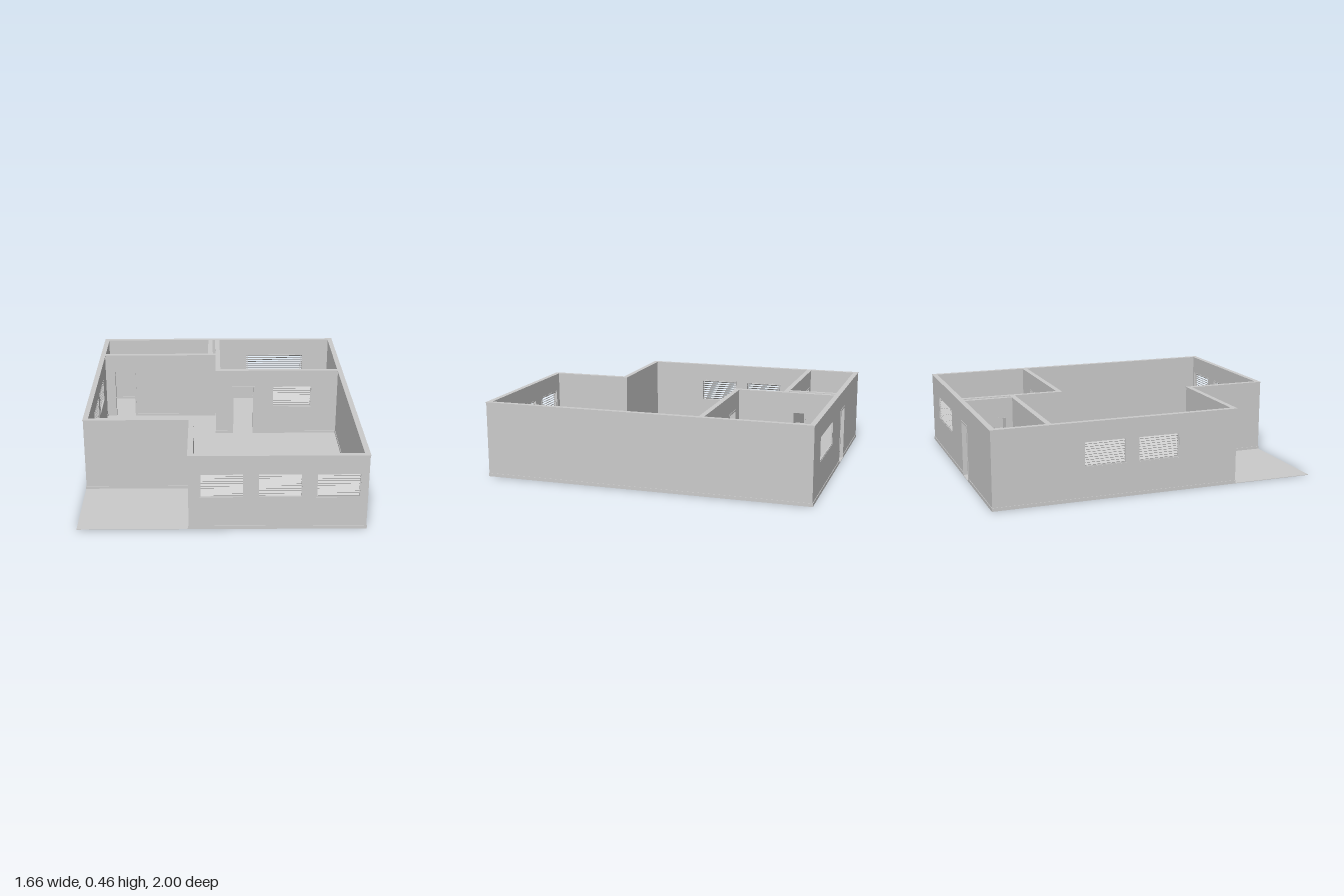
import * as THREE from 'three';

const H = 0.46, T = 0.026, LIP = 0.003; // wall height, thickness, trim overhang
const SILL = 0.2, HEAD = 0.35;
const mat = new THREE.MeshStandardMaterial({ color: 0xcccccc });

function box(parent, name, w, h, d, x, y, z) {
  const m = new THREE.Mesh(new THREE.BoxGeometry(w, h, d), mat);
  m.name = name;
  m.position.set(x, y, z);
  parent.add(m);
  return m;
}

// Rectangular path, used as a hole
function rectPath(x0, y0, x1, y1) {
  const p = new THREE.Path();
  p.moveTo(x0, y0).lineTo(x0, y1).lineTo(x1, y1).lineTo(x1, y0).closePath();
  return p;
}

// Frame around an opening; the bottom rail is optional
function frame(parent, name, a, b, y0, y1, bar, depth, z, bottom) {
  const w = b - a, cx = (a + b) / 2, cy = (y0 + y1) / 2;
  for (const x of [a + bar / 2, b - bar / 2]) box(parent, name, bar, y1 - y0, depth, x, cy, z);
  box(parent, name, w - 2 * bar, bar, depth, cx, y1 - bar / 2, z);
  if (bottom) box(parent, name, w - 2 * bar, bar, depth, cx, y0 + bar / 2, z);
}

// Louvred window; out is the local z direction of the outside
function louvreWindow(parent, a, b, out) {
  const g = new THREE.Group();
  g.name = 'louvreWindow';
  frame(g, 'windowFrame', a, b, SILL, HEAD, 0.006, T, -out * 0.002, true);
  const n = 9, pitch = (HEAD - SILL - 0.012) / n;
  for (let i = 0; i < n; i++) {
    const y = SILL + 0.006 + (i + 0.5) * pitch;
    const s = box(g, 'slat', b - a - 0.012, 0.003, 0.016, (a + b) / 2, y, 0);
    s.rotation.x = out * 0.6;
  }
  // Slat carriers near each side
  for (const x of [a + 0.016, b - 0.016]) box(g, 'slatCarrier', 0.004, HEAD - SILL - 0.01, 0.005, x, (SILL + HEAD) / 2, -out * 0.008);
  parent.add(g);
}

// Wall along one axis at a fixed offset; openings use coordinates along that axis
function wall(parent, name, axis, at, from, to, { doors = [], windows = [], vents = [], out = 1 } = {}) {
  const g = new THREE.Group();
  g.name = name;
  const a = from - T / 2, b = to + T / 2;

  // Outline with door notches, windows as holes
  const s = new THREE.Shape();
  s.moveTo(a, 0);
  for (const [d0, d1] of doors) s.lineTo(d0, 0).lineTo(d0, HEAD).lineTo(d1, HEAD).lineTo(d1, 0);
  s.lineTo(b, 0).lineTo(b, H).lineTo(a, H).closePath();
  for (const [w0, w1] of windows) s.holes.push(rectPath(w0, SILL, w1, HEAD));
  for (const [v0, v1, y0, y1] of vents) s.holes.push(rectPath(v0, y0, v1, y1));
  const geo = new THREE.ExtrudeGeometry(s, { depth: T, bevelEnabled: false });
  geo.translate(0, 0, -T / 2);
  const body = new THREE.Mesh(geo, mat);
  body.name = 'wallPanel';
  g.add(body);

  // Skirting, interrupted by doors, and a thin cap
  let start = a - LIP;
  for (const [d0, d1] of [...doors, [b + LIP, 0]]) {
    box(g, 'skirting', d0 - start, 0.02, T + 2 * LIP, (start + d0) / 2, 0.01, 0);
    start = d1;
  }
  box(g, 'wallCap', b - a + 2 * LIP, 0.005, T + 2 * LIP, (a + b) / 2, H + 0.0005, 0);

  for (const [d0, d1] of doors) frame(g, 'doorFrame', d0, d1, 0, HEAD, 0.01, T + 2 * LIP, 0, false);
  for (const [w0, w1] of windows) louvreWindow(g, w0, w1, out);

  if (axis === 'x') g.position.z = at;
  else {
    g.rotation.y = -Math.PI / 2;
    g.position.x = at;
  }
  parent.add(g);
}

export function createModel() {
  const house = new THREE.Group();
  house.name = 'house';
  const X = 0.814, Z = 0.984;

  // Floor, which also forms the open corner terrace
  box(house, 'floor', 1.66, 0.003, 2, 0, 0.0015, 0);

  // Outer walls
  wall(house, 'frontWall', 'x', Z, -0.177, X, { windows: [[-0.125, 0.125], [0.203, 0.455], [0.533, 0.783]] });
  wall(house, 'backWall', 'x', -Z, -X, X, { doors: [[-0.245, -0.09]], windows: [[0.2, 0.62]], out: -1 });
  wall(house, 'leftWall', 'z', X, -Z, Z);
  wall(house, 'rightWall', 'z', -X, -Z, 0.483, { windows: [[-0.46, -0.205], [-0.13, 0.125]] });
  wall(house, 'terraceBackWall', 'x', 0.483, -X, -0.177);
  wall(house, 'terraceSideWall', 'z', -0.177, 0.483, Z);

  // Partitions
  const vents = [[-0.79, -0.71, 0.25, 0.34]];
  wall(house, 'smallRoomWall', 'x', -0.658, -X, -0.01, { doors: [[-0.745, -0.59]] });
  wall(house, 'smallRoomSideWall', 'z', -0.06, -Z, -0.658, { vents });
  wall(house, 'bedroomSideWall', 'z', -0.01, -Z, -0.346, { vents });
  wall(house, 'bedroomWall', 'x', -0.346, -0.01, X, { doors: [[0.085, 0.24]], windows: [[0.36, 0.625]] });

  // Lined vent through the double wall
  const vent = new THREE.Group();
  vent.name = 'ventLining';
  frame(vent, 'ventFrame', -0.79, -0.71, 0.25, 0.34, 0.005, 0.078, 0, true);
  vent.rotation.y = -Math.PI / 2;
  vent.position.x = -0.035;
  house.add(vent);

  return house;
}
